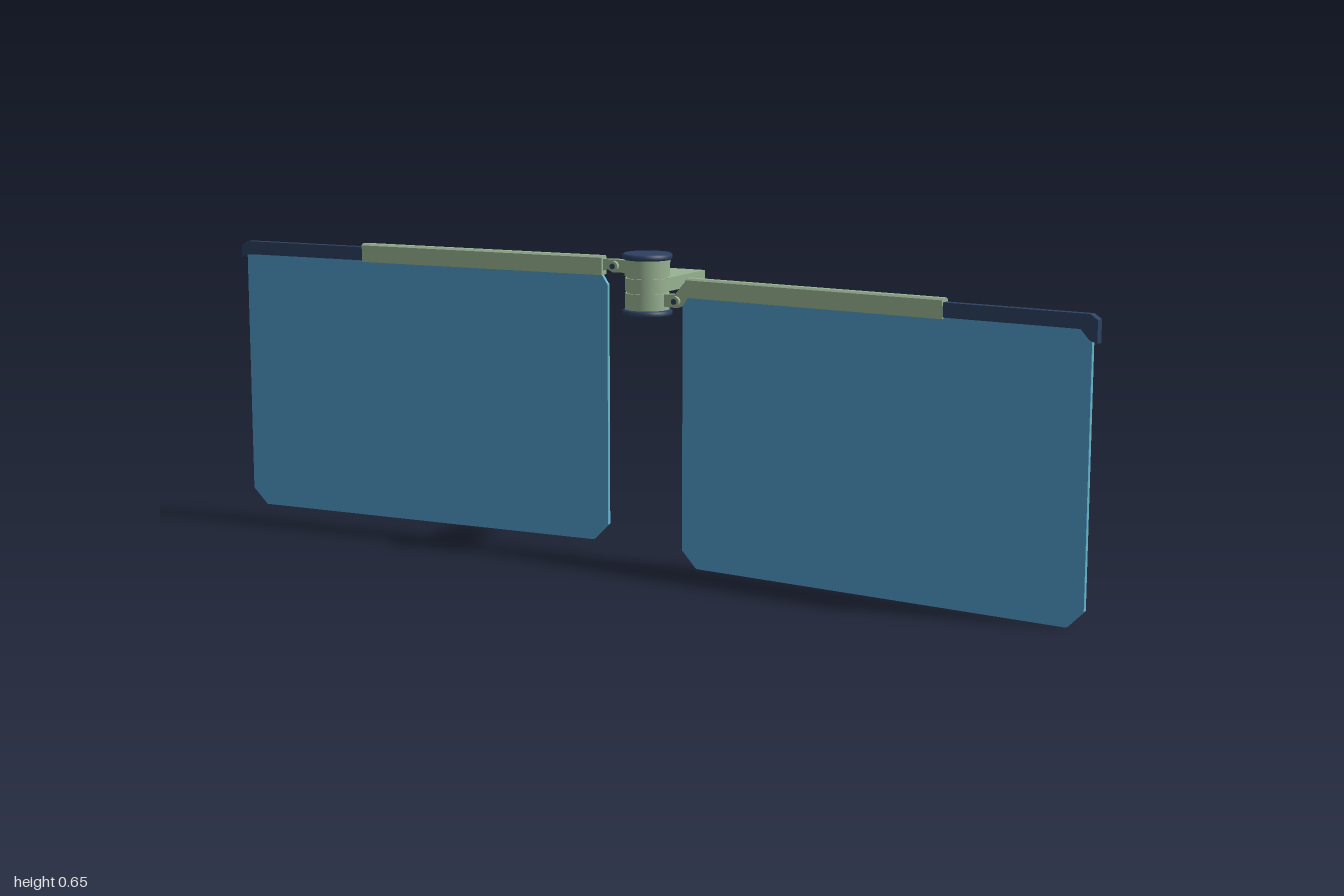
import * as THREE from 'three';

const mat = (color) => new THREE.MeshStandardMaterial({ color });
const GREEN = mat(0x98b292), NAVY = mat(0x2c4060), BLUE = mat(0x4f9bc8), TEAL = mat(0x68b6c6);
const HUB_Z = 0.032;

function add(parent, name, geometry, material, x = 0, y = 0, z = 0) {
  const mesh = new THREE.Mesh(geometry, material);
  mesh.name = name;
  mesh.position.set(x, y, z);
  parent.add(mesh);
  return mesh;
}

// Flat outline extruded along z and centred on z = 0
function plate(points, depth) {
  const shape = new THREE.Shape(points.map(([x, y]) => new THREE.Vector2(x, y)));
  const geometry = new THREE.ExtrudeGeometry(shape, { depth, bevelEnabled: false });
  return geometry.translate(0, 0, -depth / 2);
}

// Channel profile running along x from x0 to x1, with bevelled top edges
function rail(x0, x1, bottom, top, width) {
  const w = width / 2, b = 0.004;
  const geometry = plate([[-w, bottom], [w, bottom], [w, top - b], [w - b, top], [b - w, top], [-w, top - b]], x1 - x0);
  return geometry.rotateY(Math.PI / 2).translate((x0 + x1) / 2, 0, 0);
}

// One panel with its rail; side is +1 for left and -1 for right
function createWing(side, lift, angle, drop) {
  const wing = new THREE.Group();
  wing.name = side > 0 ? 'leftWing' : 'rightWing';
  wing.position.set(0, lift, HUB_Z);
  wing.rotation.y = -side * angle;
  const flip = (points) => points.map(([x, y]) => [x * side, y]);

  // Panel with cut corners, blue on the front skin
  const outline = flip([[0.09, 0.035], [0.125, 0], [0.955, 0], [0.99, 0.035],
    [0.99, 0.575], [0.11, 0.575], [0.09, 0.545]]);
  add(wing, 'panelBack', plate(outline, 0.008), TEAL, 0, 0, -0.001);
  add(wing, 'panelFront', plate(outline, 0.002), BLUE, 0, 0, 0.004);

  // Green rail, then the slimmer navy extension hooking over the outer corner
  const [a, b] = side > 0 ? [0.1, 0.685] : [-0.685, -0.1];
  add(wing, 'rail', rail(a, b, 0.565, 0.605, 0.023), GREEN);
  add(wing, 'railExtension', plate(flip([[0.67, 0.568], [0.968, 0.568], [0.987, drop + 0.005],
    [1.002, drop], [1.002, 0.587], [0.987, 0.597], [0.67, 0.597]]), 0.018), NAVY);
  return wing;
}

// Lug and pin joining a rail to the hub
function createHinge(side, y, railY) {
  const hinge = new THREE.Group();
  hinge.name = side > 0 ? 'leftHinge' : 'rightHinge';
  hinge.position.set(0, 0, HUB_Z + 0.004);
  const lug = [[0.03, y - 0.012], [0.075, y - 0.014], [0.088, y - 0.008], [0.112, railY - 0.014],
    [0.112, railY + 0.014], [0.092, railY + 0.013], [0.07, y + 0.014], [0.03, y + 0.012]];
  add(hinge, 'lug', plate(lug.map(([x, v]) => [x * side, v]), 0.014), GREEN);
  const pin = new THREE.CylinderGeometry(0.011, 0.011, 0.03, 16).rotateX(Math.PI / 2);
  add(hinge, 'pin', pin, GREEN, side * 0.072, y);
  const pinCore = new THREE.CylinderGeometry(0.006, 0.006, 0.034, 12).rotateX(Math.PI / 2);
  add(hinge, 'pinCore', pinCore, NAVY, side * 0.072, y);
  return hinge;
}

function createHub() {
  const hub = new THREE.Group();
  hub.name = 'hub';
  hub.position.z = HUB_Z;
  // Stacked collars with narrow grooves: [name, bottom, top, radius]
  const collars = [
    ['lowerCollar', 0.532, 0.568, 0.046],
    ['middleCollar', 0.572, 0.599, 0.046],
    ['upperCollar', 0.603, 0.64, 0.047],
    ['spindle', 0.53, 0.64, 0.042],
  ];
  for (const [name, y0, y1, r] of collars) {
    add(hub, name, new THREE.CylinderGeometry(r, r, y1 - y0, 40), GREEN, 0, (y0 + y1) / 2);
  }
  // Navy end caps with bevelled rims
  for (const [name, y0, y1] of [['topCap', 0.637, 0.65], ['bottomCap', 0.521, 0.534]]) {
    const profile = [[0, y0], [0.048, y0], [0.052, y0 + 0.003], [0.052, y1 - 0.003], [0.048, y1], [0, y1]];
    add(hub, name, new THREE.LatheGeometry(profile.map(([r, y]) => new THREE.Vector2(r, y)), 40), NAVY);
  }
  return hub;
}

// Hollow rectangular arm reaching backwards from the hub
function createArm() {
  const rect = (path, w, h) => path.moveTo(-w, -h).lineTo(w, -h).lineTo(w, h).lineTo(-w, h).closePath();
  const shape = rect(new THREE.Shape(), 0.045, 0.014);
  shape.holes.push(rect(new THREE.Path(), 0.04, 0.009));
  return new THREE.ExtrudeGeometry(shape, { depth: 0.165, bevelEnabled: false });
}

export function createModel() {
  const model = new THREE.Group();
  model.name = 'twinPanelBracket';
  model.add(createHub());
  add(model, 'mountingArm', createArm(), GREEN, 0, 0.586, -0.139);
  model.add(createWing(1, 0, 0.095, 0.543));
  model.add(createWing(-1, 0.035, 0.054, 0.562));
  model.add(createHinge(1, 0.555, 0.582));
  model.add(createHinge(-1, 0.62, 0.62));
  return model;
}
